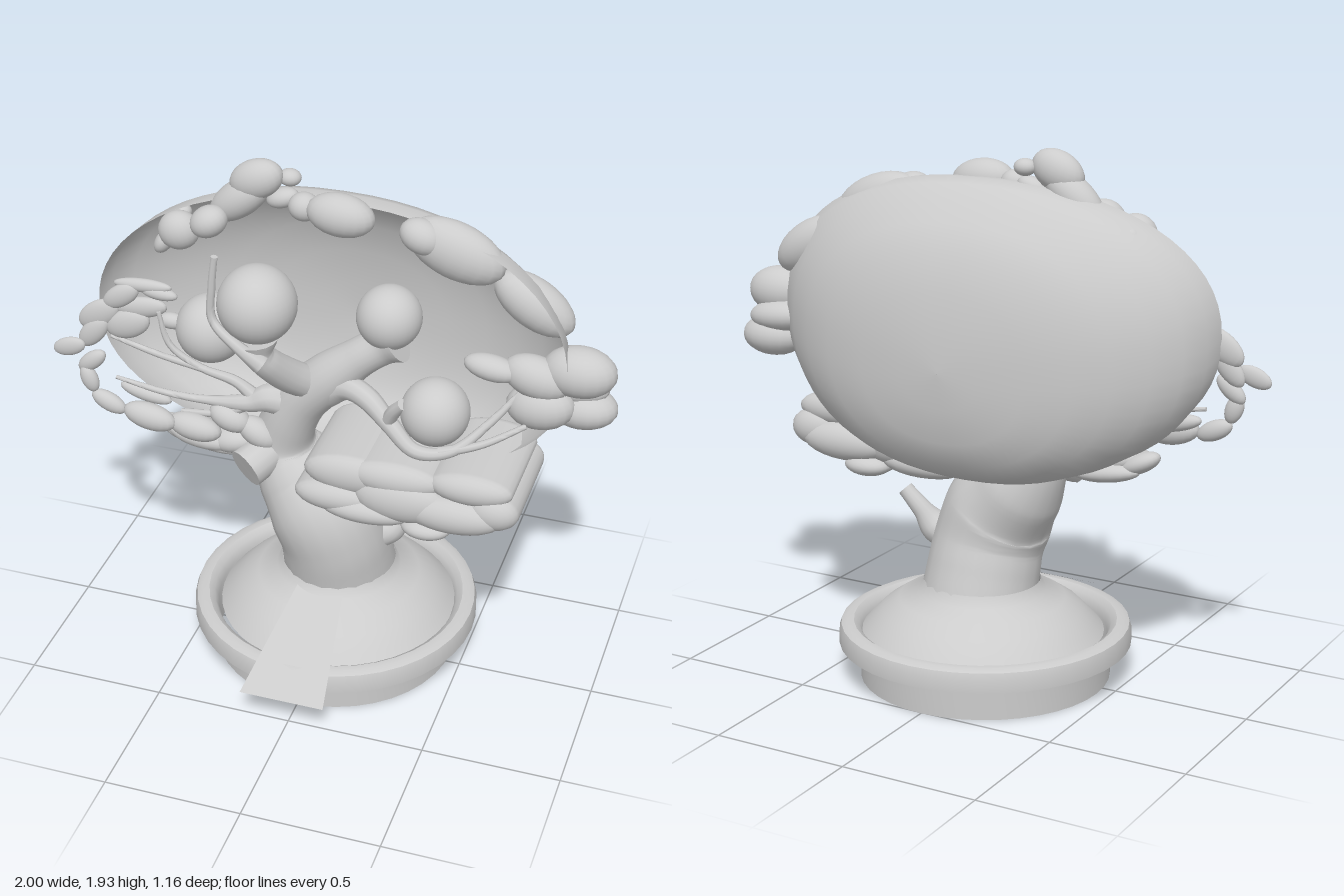
import * as THREE from 'three';
import { mergeVertices, toCreasedNormals } from 'three/addons/utils/BufferGeometryUtils.js';

const mat = new THREE.MeshStandardMaterial({ color: 0xcccccc, side: THREE.DoubleSide });
const V = (p) => new THREE.Vector3(...p);

export function createModel() {
  const root = new THREE.Group();

  function add(name, geo, pos = [0, 0, 0], parent = root) {
    const m = new THREE.Mesh(geo, mat);
    m.name = name;
    m.position.set(...pos);
    parent.add(m);
    return m;
  }

  // Tapered limb swept along a curve, with a flat cut end; each stop is [x, y, z, radius]
  function limb(name, stops, sides = 14) {
    const curve = new THREE.CatmullRomCurve3(stops.map((s) => V(s.slice(0, 3))));
    const radii = new THREE.CatmullRomCurve3(stops.map((s) => new THREE.Vector3(s[3], 0, 0)), false, 'catmullrom', 0.3);
    const n = stops.length * 7;
    const geo = new THREE.TubeGeometry(curve, n, 1, sides);
    const p = geo.attributes.position, v = new THREE.Vector3();
    for (let i = 0; i <= n; i++) {
      const u = i / n, c = curve.getPointAt(u);
      const centre = curve.getPointAt(Math.min(i, n - 1) / n);
      const r = i === n ? 0.0005 : radii.getPoint(curve.getUtoTmapping(u)).x;
      for (let j = 0; j <= sides; j++) {
        const k = i * (sides + 1) + j;
        v.fromBufferAttribute(p, k).sub(c).multiplyScalar(r).add(centre);
        p.setXYZ(k, v.x, v.y, v.z);
      }
    }
    geo.deleteAttribute('uv');
    geo.deleteAttribute('normal');
    return add(name, toCreasedNormals(mergeVertices(geo, 1e-5), 0.9));
  }

  const lathe = (pts, crease) =>
    toCreasedNormals(new THREE.LatheGeometry(pts.map((p) => new THREE.Vector2(...p)), 40), crease);

  // Pot, open underneath, with an overhanging rim
  add('pot', lathe([[0.44, 0], [0.452, 0], [0.452, 0.13], [0.528, 0.13], [0.528, 0.175], [0.52, 0.2],
    [0.5, 0.21], [0.475, 0.21], [0.455, 0.195], [0.44, 0.16], [0.44, 0]], 0.6), [0, 0, -0.055]);
  // Soil mound flaring into the trunk
  add('soilMound', lathe([[0.44, 0.165], [0.41, 0.2], [0.36, 0.25], [0.3, 0.29], [0.23, 0.32], [0.21, 0.36]], 1.2),
    [0.01, 0, -0.06]);

  // Sloping plate in front of the trunk
  const plate = new THREE.BufferGeometry();
  plate.setAttribute('position', new THREE.Float32BufferAttribute([
    -0.155, 0.155, 0.575, 0.155, 0.155, 0.575, 0.09, 0.335, 0.14, -0.085, 0.335, 0.14], 3));
  plate.setIndex([0, 1, 2, 0, 2, 3]);
  plate.computeVertexNormals();
  add('frontPlate', plate);

  // Trunk and branches
  limb('trunk', [[0.015, 0.3, -0.07, 0.21], [0.01, 0.4, -0.045, 0.205], [0, 0.5, -0.02, 0.2], [-0.04, 0.61, -0.01, 0.2],
    [-0.13, 0.72, -0.035, 0.165], [-0.19, 0.83, -0.04, 0.12], [-0.165, 0.94, -0.02, 0.1], [-0.11, 1.05, -0.01, 0.095],
    [-0.01, 1.16, 0, 0.09], [0.11, 1.27, 0, 0.07], [0.18, 1.32, -0.01, 0.07], [0.24, 1.36, -0.015, 0.09]], 20);
  limb('sideStub', [[0.12, 0.49, -0.05, 0.07], [0.2, 0.52, -0.06, 0.06], [0.25, 0.585, -0.08, 0.036], [0.32, 0.66, -0.09, 0.028]]);
  limb('cutStub', [[-0.2, 0.84, -0.02, 0.07], [-0.25, 0.81, 0.06, 0.075], [-0.29, 0.785, 0.12, 0.075]]);
  limb('frontBranch', [[-0.06, 1.12, 0, 0.06], [-0.13, 1.2, 0.09, 0.06], [-0.18, 1.29, 0.17, 0.055], [-0.2, 1.33, 0.19, 0.055], [-0.21, 1.39, 0.19, 0.08]]);
  limb('frontTwig', [[-0.17, 1.32, 0.24, 0.035], [-0.25, 1.38, 0.25, 0.022], [-0.35, 1.45, 0.22, 0.016],
    [-0.35, 1.58, 0.22, 0.014], [-0.335, 1.71, 0.22, 0.012]], 8);
  limb('rightBranch', [[-0.04, 1.1, 0, 0.07], [0.08, 1.165, 0.05, 0.045], [0.16, 1.15, 0.08, 0.04], [0.25, 1.09, 0.12, 0.032],
    [0.35, 1.02, 0.15, 0.026], [0.47, 1.03, 0.13, 0.02], [0.58, 1.12, 0.06, 0.015], [0.68, 1.24, 0, 0.01]], 10);
  limb('rightTwig', [[0.24, 1.1, 0.12, 0.025], [0.27, 1.16, 0.14, 0.025], [0.31, 1.21, 0.16, 0.022]], 8);
  limb('rightLeafTwig', [[0.43, 1.025, 0.14, 0.02], [0.57, 1.06, 0.1, 0.014], [0.72, 1.13, 0.03, 0.01]], 8);
  limb('leftBranch', [[-0.13, 1.02, 0, 0.06], [-0.22, 1.05, 0.03, 0.055], [-0.29, 1.03, 0.05, 0.035],
    [-0.46, 1.015, 0.06, 0.016], [-0.6, 1.03, 0.08, 0.012], [-0.8, 1.06, 0.08, 0.007]], 10);
  limb('leftUpperTwig', [[-0.26, 1.04, 0.04, 0.03], [-0.34, 1.1, 0.04, 0.02], [-0.47, 1.14, 0.05, 0.014],
    [-0.58, 1.22, 0.06, 0.012], [-0.62, 1.36, 0.06, 0.008]], 8);
  limb('leftOuterTwig', [[-0.45, 1.135, 0.05, 0.014], [-0.62, 1.17, 0.06, 0.012], [-0.82, 1.22, 0.06, 0.008]], 8);
  limb('leftLowerTwig', [[-0.28, 1.03, 0.05, 0.025], [-0.38, 0.98, 0.07, 0.016], [-0.55, 0.96, 0.08, 0.01]], 8);

  // Canopy: bowl open to the front, lofted from slightly squared rings [z, centre y, half width, half height]
  const rings = [[0.03, 1.32, 0.845, 0.49], [-0.06, 1.3, 0.835, 0.515], [-0.14, 1.285, 0.785, 0.515], [-0.22, 1.26, 0.705, 0.49],
    [-0.29, 1.24, 0.6, 0.44], [-0.345, 1.22, 0.475, 0.365], [-0.38, 1.2, 0.32, 0.26], [-0.4, 1.19, 0.15, 0.13], [-0.405, 1.19, 0.001, 0.001]];
  const N = 64, pos = [], idx = [];
  const square = (t) => Math.sign(t) * Math.abs(t) ** 0.9;
  rings.forEach(([z, cy, rx, ry], i) => {
    for (let j = 0; j < N; j++) {
      const a = (j / N) * Math.PI * 2, s = Math.sin(a);
      const dip = Math.max(0, 1 - i / 3) * (s > 0 ? 0.1 : 0.04) * s * s; // rim leans back at the top
      pos.push(-0.01 + rx * square(Math.cos(a)), cy + ry * square(s), z - dip);
      if (i) {
        const k = (j + 1) % N, b = i * N, c = b - N;
        idx.push(c + j, b + j, c + k, c + k, b + j, b + k);
      }
    }
  });
  const bowl = new THREE.BufferGeometry();
  bowl.setAttribute('position', new THREE.Float32BufferAttribute(pos, 3));
  bowl.setIndex(idx);
  bowl.computeVertexNormals();
  add('canopyBowl', bowl);

  // Round fruits
  [[-0.215, 1.5, 0.15, 0.138], [-0.445, 1.28, 0, 0.125], [0.2, 1.43, -0.02, 0.114], [0.405, 1.165, 0.105, 0.12]]
    .forEach(([x, y, z, r]) => add('fruit', new THREE.SphereGeometry(r, 32, 20), [x, y, z]));

  // Leaf clumps: [x, y, z, half length, half height, half depth, tilt in degrees]
  const ball = new THREE.SphereGeometry(1, 20, 14);
  function clumps(name, list) {
    const g = new THREE.Group();
    g.name = name;
    root.add(g);
    for (const [x, y, z, a, b, c, deg] of list) {
      const m = add('leafClump', ball, [x, y, z], g);
      m.scale.set(a, b, c);
      m.rotation.z = THREE.MathUtils.degToRad(deg);
    }
  }
  clumps('topLeaves', [
    [-0.29, 1.85, -0.07, 0.1, 0.07, 0.06, 25], [-0.35, 1.77, -0.07, 0.13, 0.065, 0.065, 38], [-0.18, 1.86, -0.1, 0.04, 0.03, 0.035, 0],
    [-0.2, 1.79, -0.08, 0.06, 0.035, 0.04, 20], [-0.44, 1.7, 0, 0.07, 0.055, 0.06, 30], [-0.55, 1.65, 0, 0.075, 0.07, 0.06, 20],
    [-0.62, 1.58, -0.03, 0.05, 0.03, 0.04, 60], [-0.61, 1.61, -0.12, 0.05, 0.035, 0.035, 30], [-0.58, 1.66, -0.1, 0.04, 0.03, 0.035, 30],
    [0.025, 1.79, -0.02, 0.12, 0.075, 0.07, -5], [-0.11, 1.79, -0.04, 0.055, 0.05, 0.05, 0],
    [0.41, 1.69, -0.08, 0.18, 0.1, 0.08, -20], [0.3, 1.74, -0.05, 0.08, 0.06, 0.06, -20], [0.68, 1.52, -0.11, 0.16, 0.085, 0.08, -32]]);
  clumps('rightLeaves', [
    [0.86, 1.32, -0.05, 0.13, 0.09, 0.09, 0], [0.87, 1.16, -0.09, 0.125, 0.075, 0.09, 0], [0.74, 1.18, -0.02, 0.12, 0.085, 0.08, 5],
    [0.72, 1.29, -0.02, 0.12, 0.075, 0.07, -15], [0.57, 1.31, 0, 0.1, 0.045, 0.05, -8], [0.82, 1.24, -0.1, 0.14, 0.06, 0.08, -5]]);
  clumps('leftUpperLeaves', [
    [-0.68, 1.43, 0.04, 0.11, 0.025, 0.022, 3], [-0.62, 1.41, 0.04, 0.07, 0.025, 0.025, -5], [-0.76, 1.38, 0.05, 0.08, 0.04, 0.025, 35],
    [-0.85, 1.29, 0.05, 0.09, 0.05, 0.025, 35], [-0.94, 1.18, 0.12, 0.065, 0.035, 0.02, 20], [-0.74, 1.27, 0.05, 0.09, 0.055, 0.03, 25],
    [-0.69, 1.34, 0.04, 0.1, 0.04, 0.025, 10], [-0.87, 1.22, 0.06, 0.08, 0.04, 0.025, 50], [-0.58, 1.3, 0.03, 0.05, 0.03, 0.03, 0]]);
  clumps('leftLowerLeaves', [
    [-0.86, 1.13, 0.11, 0.065, 0.032, 0.025, 40], [-0.87, 1.06, 0.12, 0.055, 0.032, 0.025, -70], [-0.8, 0.975, 0.12, 0.07, 0.035, 0.03, -25],
    [-0.64, 0.95, 0.13, 0.1, 0.05, 0.045, -10], [-0.48, 0.92, 0.1, 0.1, 0.05, 0.05, -8], [-0.48, 0.85, 0.04, 0.13, 0.045, 0.06, -8],
    [-0.36, 0.96, 0.06, 0.08, 0.05, 0.05, -20], [-0.26, 0.91, 0.05, 0.08, 0.05, 0.05, -30], [-0.57, 0.85, 0.02, 0.08, 0.035, 0.05, -25],
    [-0.36, 0.85, 0.03, 0.09, 0.05, 0.06, 10], [-0.45, 0.805, 0, 0.13, 0.035, 0.05, -8], [-0.68, 1.0, 0.06, 0.1, 0.03, 0.03, -12]]);

  // Long rounded pads running front to back: [x, y, z, half width, half height, half depth]
  const pad = new THREE.CapsuleGeometry(1, 6, 6, 24).rotateX(Math.PI / 2);
  const pads = new THREE.Group();
  pads.name = 'lowerRightPads';
  root.add(pads);
  [[0.13, 0.905, 0.02, 0.17, 0.075, 0.22], [0.29, 0.925, 0.02, 0.17, 0.065, 0.23], [0.56, 0.935, 0.015, 0.15, 0.06, 0.23],
    [0.08, 0.815, 0.02, 0.15, 0.06, 0.24], [0.32, 0.85, 0.02, 0.17, 0.085, 0.25], [0.41, 0.755, 0.01, 0.09, 0.04, 0.26],
    [0.5, 0.83, 0.01, 0.18, 0.07, 0.265], [0.19, 0.785, 0.02, 0.17, 0.05, 0.25], [0.64, 0.86, 0.01, 0.095, 0.07, 0.24]]
    .forEach(([x, y, z, w, h, d]) => add('leafPad', pad, [x, y, z], pads).scale.set(w, h, d / 4));

  return root;
}
